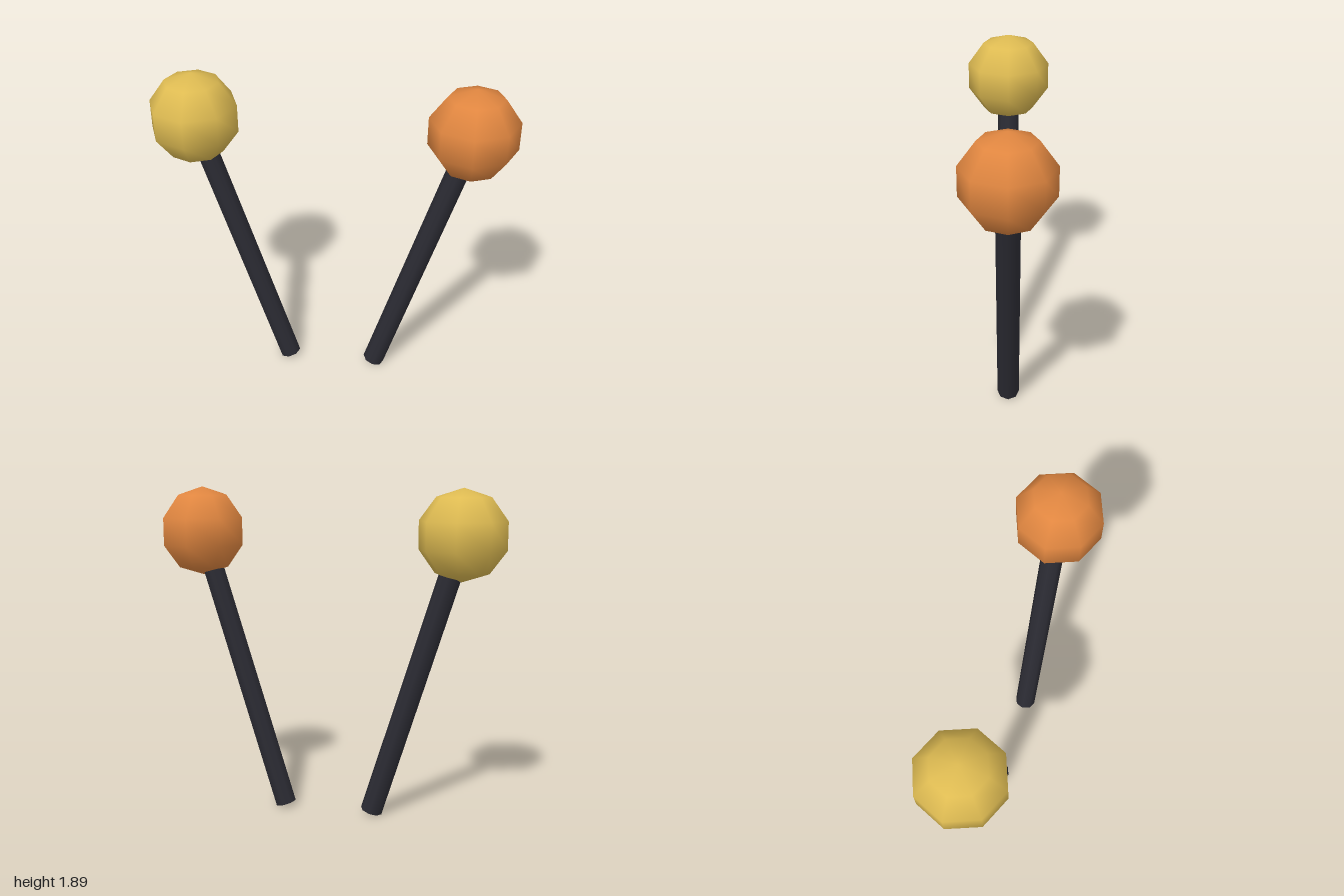
import * as THREE from 'three';

const TILT = 0.3, SHAFT_LENGTH = 1.52, SHAFT_RADIUS = 0.0635, HEAD_RADIUS = 0.255;

export function createModel() {
  const paint = (name, color) => {
    const material = new THREE.MeshStandardMaterial({ color });
    material.name = name;
    return material;
  };
  const shaftDark = paint('shaft charcoal', 0x2b2b33);
  const orange = paint('head orange', 0xe08640);
  const yellow = paint('head yellow', 0xdebb52);

  // Shaft geometry starts at its lower end so it can lean from there
  const shaftGeometry = new THREE.CylinderGeometry(SHAFT_RADIUS, SHAFT_RADIUS, SHAFT_LENGTH, 8);
  shaftGeometry.translate(0, SHAFT_LENGTH / 2, 0);
  const headGeometry = new THREE.SphereGeometry(HEAD_RADIUS, 8, 5);

  // One mallet: a leaning shaft with an upright round head
  const mallet = (name, side, headMaterial) => {
    const group = new THREE.Group();
    group.name = name;

    const shaft = new THREE.Mesh(shaftGeometry, shaftDark);
    shaft.name = 'shaft';
    shaft.position.set(side * 0.263, SHAFT_RADIUS * Math.sin(TILT), 0);
    shaft.rotation.z = -side * TILT;

    const head = new THREE.Mesh(headGeometry, headMaterial);
    head.name = 'head';
    head.position.set(side * 0.757, 1.635, 0);

    group.add(shaft, head);
    return group;
  };

  const model = new THREE.Group();
  model.name = 'mallets';
  model.add(mallet('leftMallet', 1, orange), mallet('rightMallet', -1, yellow));
  return model;
}
